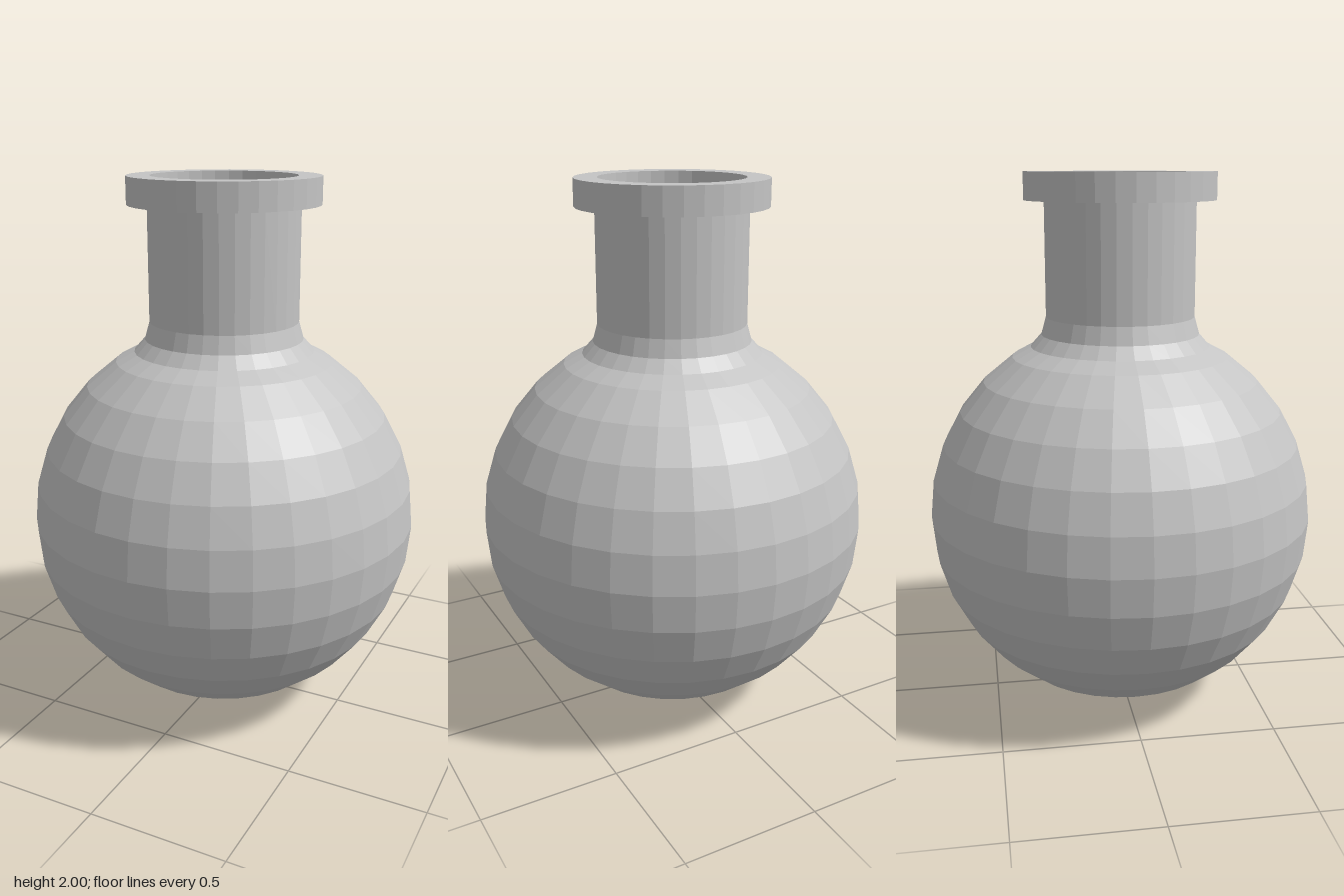
import * as THREE from 'three';

const SEGMENTS = 32;
const RADIUS = 0.728;

export function createModel() {
  const flask = new THREE.Group();
  flask.name = 'flask';

  const grey = new THREE.MeshStandardMaterial({ color: 0xc4c4c4 });
  grey.name = 'grey';

  // Faceted solid of revolution from [radius, height] pairs
  function turned(name, profile) {
    const points = profile.map(([r, y]) => new THREE.Vector2(r, y));
    const geometry = new THREE.LatheGeometry(points, SEGMENTS).toNonIndexed();
    geometry.computeVertexNormals();
    const mesh = new THREE.Mesh(geometry, grey);
    mesh.name = name;
    flask.add(mesh);
  }

  // Round bulb: sphere rings from the bottom up to the shoulder
  const bulb = [];
  for (let i = 0; i <= 13; i++) {
    const a = (i / 16) * Math.PI;
    bulb.push([RADIUS * Math.sin(a), RADIUS * (1 - Math.cos(a))]);
  }
  const shoulderStart = bulb[bulb.length - 1];
  turned('bulb', bulb);

  // Curved shoulder joining bulb and neck
  turned('shoulder', [shoulderStart, [0.335, 1.37], [0.295, 1.415], [0.277, 1.48]]);

  // Straight neck
  turned('neck', [[0.277, 1.48], [0.277, 1.9]]);

  // Collar with a flat top around the mouth
  turned('rim', [[0.277, 1.9], [0.35, 1.9], [0.35, 2], [0.265, 2]]);

  // Inner wall of the mouth and its flat floor
  turned('bore', [[0.265, 2], [0.265, 1.42], [0, 1.42]]);

  return flask;
}
